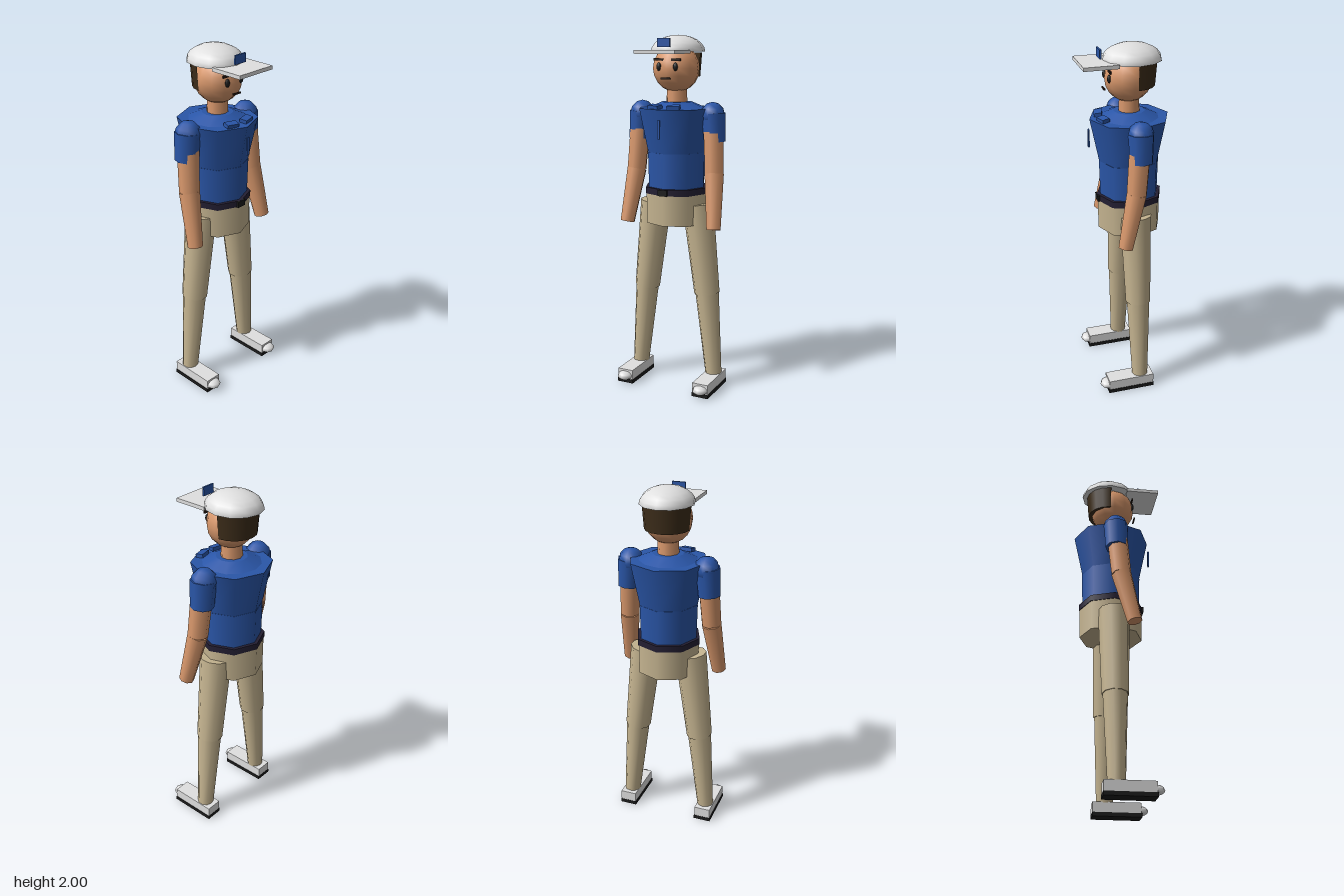
import * as THREE from 'three';

const mat = (name, color, side = THREE.FrontSide) => {
  const m = new THREE.MeshStandardMaterial({ color, side });
  m.name = name;
  return m;
};

export function createModel() {
  const skin = mat('skin', 0xd9986c);
  const blue = mat('shirt blue', 0x2a56a8);
  const tan = mat('trouser tan', 0xc6b591);
  const white = mat('off white', 0xe0e0e0);
  const hair = mat('hair brown', 0x3d2d1a, THREE.DoubleSide);
  const navy = mat('belt dark', 0x241f33);
  const black = mat('sole black', 0x1c1c1c);
  const dark = mat('face dark', 0x2a1c14);

  const model = new THREE.Group();
  const Z = -0.028; // body axis

  const add = (name, geometry, material, x, y, z) => {
    const m = new THREE.Mesh(geometry, material);
    m.name = name;
    m.position.set(x, y, z);
    model.add(m);
    return m;
  };
  const box = (name, material, w, h, d, x, y, z) =>
    add(name, new THREE.BoxGeometry(w, h, d), material, x, y, z);
  // Upright tapered section on the body axis
  const ring = (name, material, y0, y1, r0, r1, sides = 8) =>
    add(name, new THREE.CylinderGeometry(r1, r0, y1 - y0, sides), material, 0, (y0 + y1) / 2, Z);
  // Tapered limb between two points
  const limb = (name, material, a, b, ra, rb, sides = 8) => {
    const p = new THREE.Vector3(...a), q = new THREE.Vector3(...b);
    const mid = p.clone().add(q).multiplyScalar(0.5);
    const m = add(name, new THREE.CylinderGeometry(rb, ra, p.distanceTo(q), sides), material, mid.x, mid.y, mid.z);
    m.quaternion.setFromUnitVectors(new THREE.Vector3(0, 1, 0), q.sub(p).normalize());
    return m;
  };

  // Trunk
  ring('hips', tan, 0.96, 1.135, 0.178, 0.18);
  ring('belt', navy, 1.13, 1.166, 0.184, 0.184);
  box('buckle', black, 0.055, 0.034, 0.012, 0, 1.148, 0.153);
  ring('lowerShirt', blue, 1.16, 1.362, 0.165, 0.17);
  ring('upperShirt', blue, 1.36, 1.605, 0.168, 0.219);
  ring('yoke', blue, 1.6, 1.638, 0.172, 0.085, 12);
  box('placket', blue, 0.016, 0.1, 0.008, 0, 1.5, 0.197);

  // Head and face
  ring('neck', skin, 1.6, 1.73, 0.06, 0.055, 10);
  add('head', new THREE.SphereGeometry(0.13, 12, 10), skin, 0, 1.82, Z + 0.005);
  add('hair', new THREE.CylinderGeometry(0.132, 0.122, 0.13, 8, 1, false, Math.PI / 2, Math.PI),
    hair, 0, 1.84, -0.044);
  box('mouth', dark, 0.055, 0.009, 0.008, 0, 1.768, 0.112);

  // Cap
  const dome = add('capDome',
    new THREE.SphereGeometry(0.158, 12, 6, 0, Math.PI * 2, 0, Math.PI / 2), white, 0, 1.91, -0.043);
  dome.scale.set(0.93, 0.57, 1.02);
  const under = add('capUnderside', new THREE.CircleGeometry(0.158, 12), white, 0, 1.91, -0.043);
  under.rotation.x = Math.PI / 2;
  under.scale.set(0.93, 1.02, 1);
  box('capBrim', white, 0.24, 0.02, 0.19, 0, 1.909, 0.15);
  box('capBadge', blue, 0.076, 0.048, 0.01, 0, 1.957, 0.134);

  for (const s of [1, -1]) {
    // Face details
    const eye = add('eye', new THREE.SphereGeometry(0.016, 8, 6), black, s * 0.05, 1.83, 0.094);
    eye.scale.set(0.9, 1.4, 0.7);
    box('brow', dark, 0.055, 0.013, 0.008, s * 0.052, 1.868, 0.092);

    // Collar flap
    const flap = box('collarFlap', blue, 0.07, 0.02, 0.042, s * 0.056, 1.617, 0.13);
    flap.rotation.set(0.15, s * 0.25, 0);

    // Arm
    const shoulder = [s * 0.222, 1.58, Z], cuff = [s * 0.233, 1.425, -0.026];
    const elbow = [s * 0.242, 1.25, 0], wrist = [s * 0.27, 0.95, 0.068];
    add('shoulder', new THREE.SphereGeometry(0.072, 8, 6), blue, s * 0.217, 1.57, Z);
    limb('sleeve', blue, cuff, shoulder, 0.064, 0.07);
    limb('upperArm', skin, elbow, shoulder, 0.056, 0.06);
    limb('forearm', skin, wrist, elbow, 0.042, 0.057);

    // Leg
    limb('thigh', tan, [s * 0.192, 0.555, Z], [s * 0.132, 1.07, Z], 0.073, 0.089, 10);
    limb('shin', tan, [s * 0.238, 0.075, Z], [s * 0.192, 0.57, Z], 0.047, 0.068, 10);

    // Shoe
    box('sole', black, 0.1, 0.022, 0.273, s * 0.24, 0.011, 0.037);
    box('shoe', white, 0.094, 0.058, 0.268, s * 0.24, 0.05, 0.036);
    const toe = add('toeCap', new THREE.SphereGeometry(0.045, 8, 6), white, s * 0.242, 0.043, 0.17);
    toe.scale.set(1, 0.58, 1);
  }
  return model;
}
